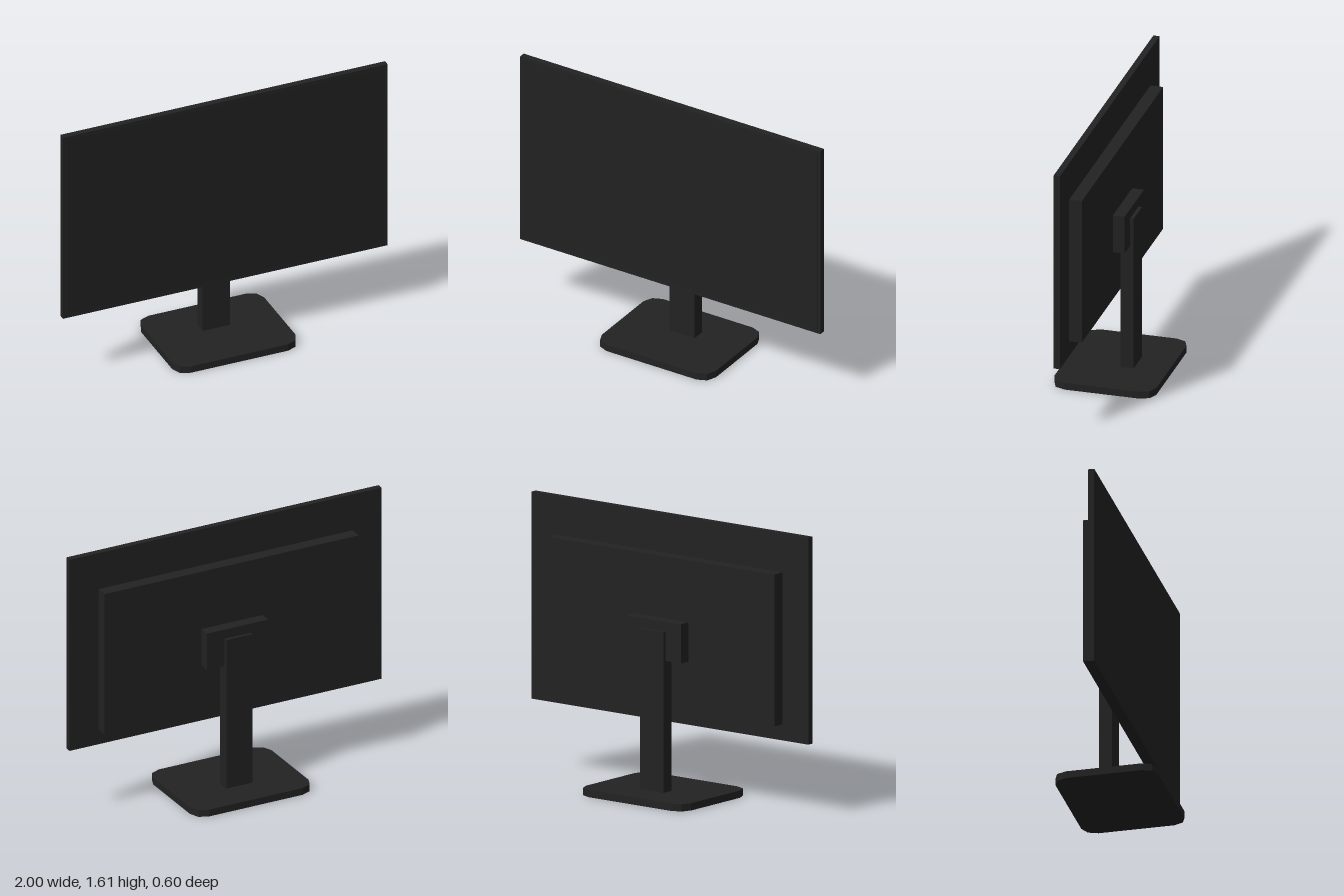
import * as THREE from 'three';

const material = (name, color) => {
  const m = new THREE.MeshStandardMaterial({ color });
  m.name = name;
  return m;
};

export function createModel() {
  const model = new THREE.Group();
  model.name = 'monitor';
  const plastic = material('black plastic', 0x222222);
  const glass = material('dark glass', 0x212122);

  // Box given by its limits on each axis
  const box = (name, mat, [x0, x1], [y0, y1], [z0, z1]) => {
    const mesh = new THREE.Mesh(new THREE.BoxGeometry(x1 - x0, y1 - y0, z1 - z0), mat);
    mesh.position.set((x0 + x1) / 2, (y0 + y1) / 2, (z0 + z1) / 2);
    mesh.name = name;
    model.add(mesh);
  };

  // Display
  box('panel', plastic, [-1, 1], [0.415, 1.61], [0.063, 0.1]);
  box('screen', glass, [-0.98, 0.98], [0.44, 1.59], [0.098, 0.101]);
  box('powerLight', plastic, [0.92, 0.935], [0.42, 0.428], [0.098, 0.104]);
  box('rearHousing', plastic, [-0.815, 0.815], [0.508, 1.385], [-0.012, 0.063]);

  // Stand
  box('mountBracket', plastic, [-0.195, 0.195], [0.8, 1.027], [-0.081, -0.012]);
  box('post', plastic, [-0.084, 0.084], [0.04, 0.97], [-0.102, -0.026]);

  // Base plate with faceted round corners
  const w = 0.38, d = 0.3, r = 0.08;
  const points = [];
  for (let corner = 0; corner < 4; corner++) {
    const cx = (corner === 0 || corner === 3 ? 1 : -1) * (w - r);
    const cy = (corner < 2 ? 1 : -1) * (d - r);
    for (let i = 0; i <= 2; i++) {
      const a = (corner + i / 2) * Math.PI / 2;
      points.push(new THREE.Vector2(cx + r * Math.cos(a), cy + r * Math.sin(a)));
    }
  }
  const baseGeometry = new THREE.ExtrudeGeometry(new THREE.Shape(points), { depth: 0.042, bevelEnabled: false });
  baseGeometry.rotateX(-Math.PI / 2);
  const base = new THREE.Mesh(baseGeometry, plastic);
  base.name = 'base';
  model.add(base);

  return model;
}
